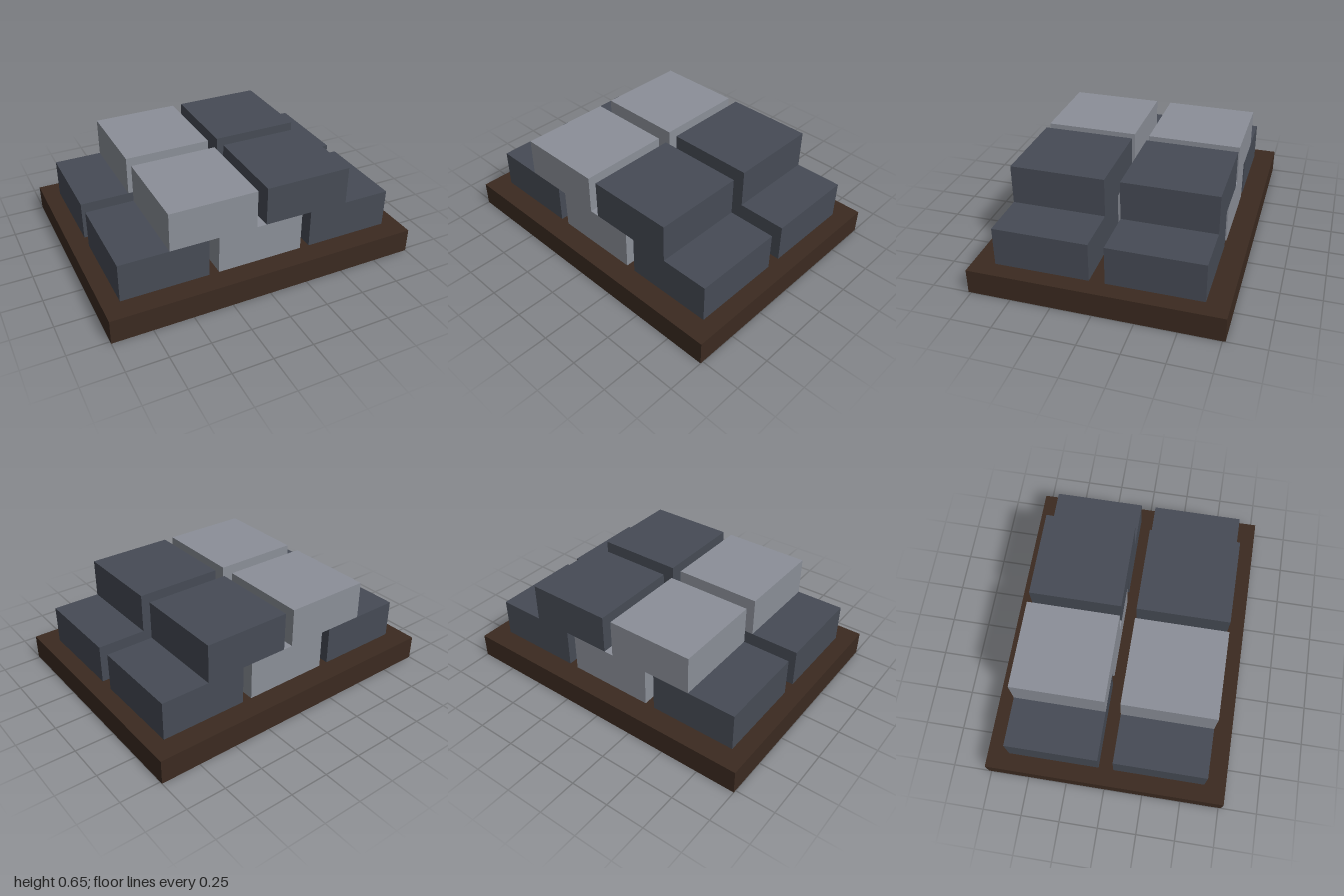
import * as THREE from 'three';

export function createModel() {
  const wood = new THREE.MeshStandardMaterial({ name: 'dark brown wood', color: 0x3b2a20 });
  const steel = new THREE.MeshStandardMaterial({ name: 'dark slate metal', color: 0x464b55 });
  const silver = new THREE.MeshStandardMaterial({ name: 'light silver metal', color: 0x8b8f98 });
  const group = new THREE.Group();
  group.name = 'ingotStack';

  // A box whose underside rests at height y
  function addBlock(name, material, [w, h, d], x, y, z) {
    const mesh = new THREE.Mesh(new THREE.BoxGeometry(w, h, d), material);
    mesh.name = name;
    mesh.position.set(x, y + h / 2, z);
    group.add(mesh);
  }

  // Pallet
  const baseHeight = 0.156;
  addBlock('base', wood, [2, baseHeight, 1.535], 0, 0, 0);

  // Two identical stacks, front and back: three ingots below, two above
  const size = [0.553, 0.246, 0.583];
  const pitch = 0.615;
  for (const [side, z] of [['front', 0.339], ['back', -0.339]]) {
    [steel, silver, steel].forEach((material, i) =>
      addBlock(`${side}LowerIngot${i + 1}`, material, size, (i - 1) * pitch, baseHeight, z));
    [silver, steel].forEach((material, i) =>
      addBlock(`${side}UpperIngot${i + 1}`, material, size, (i - 0.5) * pitch + 0.001, baseHeight + size[1], z));
  }
  return group;
}
